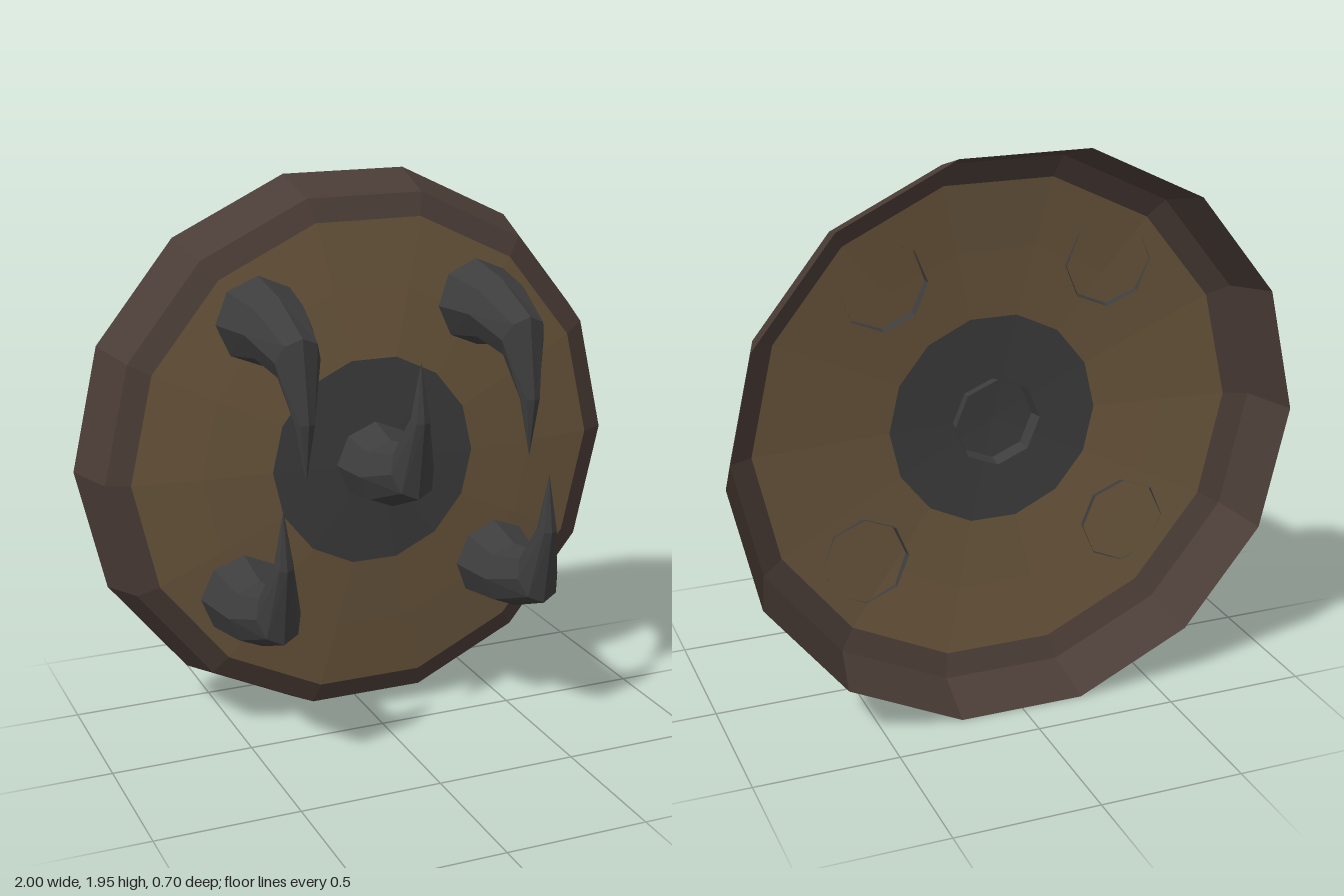
import * as THREE from 'three';

const flat = (name, color) => {
  const m = new THREE.MeshStandardMaterial({ color, flatShading: true, side: THREE.DoubleSide });
  m.name = name;
  return m;
};

const CENTRE_Y = 0.975;

// Ring of the shield: 14-sided lathe about z, profile given as [radius, z] from back to front
function shieldRing(name, profile, material) {
  const pts = profile.map(([r, z]) => new THREE.Vector2(r, z));
  const geo = new THREE.LatheGeometry(pts, 14, Math.PI / 2);
  geo.rotateX(Math.PI / 2);
  const mesh = new THREE.Mesh(geo, material);
  mesh.name = name;
  mesh.position.y = CENTRE_Y;
  return mesh;
}

// Curved octagonal spike, open at its base; flip = -1 makes it curl downward
function clawGeometry(flip) {
  // centre z, centre y, half width in x, half height, tilt of the section
  const sections = [
    [-0.115, 0, 0.154, 0.154, 0],
    [0.08, -0.004, 0.118, 0.116, 0.08],
    [0.255, 0.052, 0.078, 0.097, 0.55],
    [0.315, 0.245, 0.034, 0.036, 1.45],
    [0.32, 0.443, 0, 0, 1.55],
  ];
  const n = 8, pos = [], idx = [];
  for (const [z, y, w, h, tilt] of sections) {
    for (let i = 0; i < n; i++) {
      const a = (i / n) * Math.PI * 2, up = Math.sin(a) * h;
      pos.push(Math.cos(a) * w, flip * (y + up * Math.cos(tilt)), z - up * Math.sin(tilt));
    }
  }
  for (let s = 0; s < sections.length - 1; s++) {
    for (let i = 0; i < n; i++) {
      const a = s * n + i, b = s * n + (i + 1) % n, c = a + n, d = b + n;
      const quad = s === sections.length - 2 ? [a, b, c] : [a, b, d, a, d, c];
      idx.push(...(flip > 0 ? quad : quad.reverse()));
    }
  }
  const geo = new THREE.BufferGeometry();
  geo.setAttribute('position', new THREE.Float32BufferAttribute(pos, 3));
  geo.setIndex(idx);
  geo.computeVertexNormals();
  return geo;
}

export function createModel() {
  const rimMat = flat('dark brown rim', 0x4a3c36);
  const woodMat = flat('tan wood', 0x6b573d);
  const ironMat = flat('dark iron', 0x3d3d3d);

  const model = new THREE.Group();
  model.name = 'spikedShield';

  // Hollow shell: bevelled rim, shallow wooden cone and iron centre
  model.add(
    shieldRing('rim', [[1, -0.35], [0.94, -0.155], [0.86, -0.12]], rimMat),
    shieldRing('woodFace', [[0.86, -0.12], [0.62, -0.095], [0.375, -0.074]], woodMat),
    shieldRing('centrePlate', [[0.375, -0.074], [0, -0.056]], ironMat),
  );

  // Claws: upper pair curls down, lower pair and the centre one curl up
  const upward = clawGeometry(1), downward = clawGeometry(-1);
  const addClaw = (name, geo, x, y) => {
    const mesh = new THREE.Mesh(geo, ironMat);
    mesh.name = name;
    mesh.position.set(x, y, 0);
    model.add(mesh);
  };
  addClaw('centreClaw', upward, 0, 0.978);
  for (const [side, s] of [['left', 1], ['right', -1]]) {
    addClaw(side + 'UpperClaw', downward, s * 0.4, 1.5);
    addClaw(side + 'LowerClaw', upward, s * 0.48, 0.538);
  }
  return model;
}
